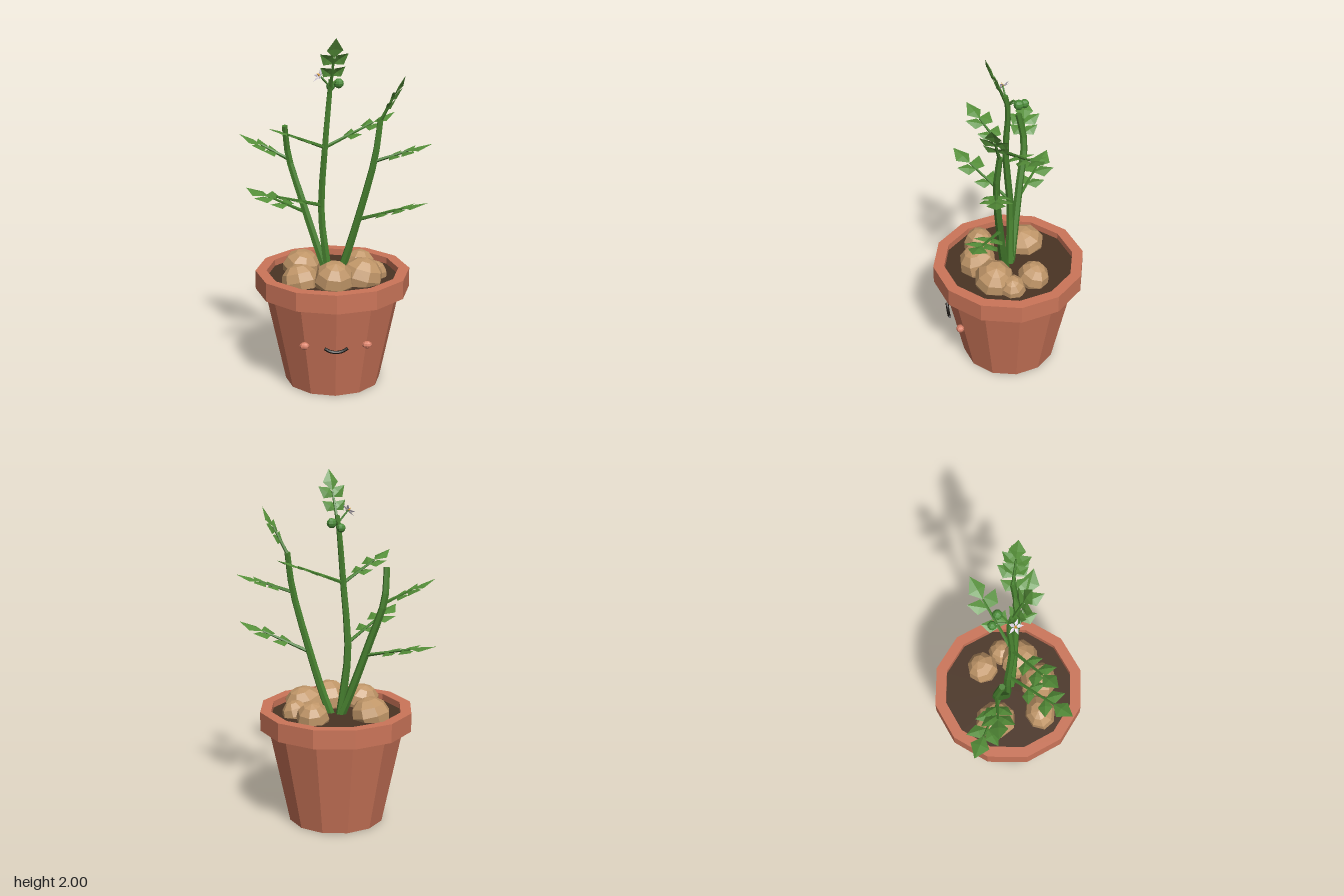
import * as THREE from 'three';

const mat = (name, color, side = THREE.FrontSide) =>
  Object.assign(new THREE.MeshStandardMaterial({ color, flatShading: true, side }), { name });
const M = {
  clay: mat('terracotta', 0xcb7559),
  soil: mat('soil', 0x4a3424),
  potato: mat('potato skin', 0xc09668),
  stem: mat('stem green', 0x47802f),
  leaf: mat('leaf green', 0x558f39, THREE.DoubleSide),
  berry: mat('berry green', 0x4a8c38),
  petal: mat('petal', 0xd6cddd, THREE.DoubleSide),
  pollen: mat('flower centre', 0xe0a030),
  blush: mat('blush', 0xd98068),
  mouth: mat('mouth', 0x1c1814),
};
const V = (x, y, z) => new THREE.Vector3(x, y, z);
const UP = V(0, 1, 0);

function add(parent, name, geometry, material, pos) {
  const m = new THREE.Mesh(geometry, material);
  m.name = name;
  if (pos) m.position.copy(pos);
  parent.add(m);
  return m;
}

// Tapered, capped rod that follows a curve
function rod(points, r0, r1, segs = 8, sides = 6) {
  const curve = new THREE.CatmullRomCurve3(points);
  const g = new THREE.CylinderGeometry(r1, r0, 1, sides, segs);
  const p = g.attributes.position, q = new THREE.Quaternion();
  for (let i = 0; i < p.count; i++) {
    const t = THREE.MathUtils.clamp(p.getY(i) + 0.5, 0, 1);
    q.setFromUnitVectors(UP, curve.getTangent(t));
    const v = V(p.getX(i), 0, p.getZ(i)).applyQuaternion(q).add(curve.getPoint(t));
    p.setXYZ(i, v.x, v.y, v.z);
  }
  g.computeVertexNormals();
  return g;
}

// Folded kite lying along +z, creased down the middle
function kite(len, width, fold) {
  const w = width / 2, m = len * 0.42;
  const g = new THREE.BufferGeometry();
  g.setAttribute('position', new THREE.Float32BufferAttribute(
    [0, 0, 0, w, -fold, m, 0, fold * 0.4, m, -w, -fold, m, 0, -fold * 0.4, len], 3));
  g.setIndex([0, 2, 1, 0, 3, 2, 1, 2, 4, 2, 3, 4]);
  g.computeVertexNormals();
  return g;
}

// Points a mesh's +z along dir, keeping its face upwards
function aim(mesh, dir, up = UP) {
  const z = dir.clone().normalize();
  const x = V(0, 0, 0).crossVectors(up, z).normalize();
  const y = V(0, 0, 0).crossVectors(z, x);
  mesh.quaternion.setFromRotationMatrix(new THREE.Matrix4().makeBasis(x, y, z));
}

// Compound leaf: stalk, two pairs of leaflets and one at the end
function compoundLeaf(parent, start, tip, size) {
  const group = new THREE.Group();
  group.name = 'compoundLeaf';
  const dir = tip.clone().sub(start), len = dir.length();
  dir.normalize();
  const at = d => start.clone().addScaledVector(dir, d);
  const stalk = len - size * 0.97;
  add(group, 'leafStalk', rod([start, at(stalk)], 0.011, 0.006, 1, 5), M.stem);

  const side = V(0, 0, 0).crossVectors(UP, dir).normalize();
  const normal = V(0, 0, 0).crossVectors(dir, side);
  for (const [f, s] of [[0.45, 0.72], [0.82, 0.82]]) {
    for (const k of [-1, 1]) {
      const d = dir.clone().multiplyScalar(0.65).addScaledVector(side, k * 0.8);
      const leaflet = add(group, 'leaflet', kite(size * s, size * s * 0.74, size * 0.06), M.leaf, at(stalk * f));
      aim(leaflet, d, normal);
    }
  }
  aim(add(group, 'endLeaflet', kite(size, size * 0.74, size * 0.07), M.leaf, at(stalk)), dir);
  parent.add(group);
}

export function createModel() {
  const root = new THREE.Group();
  root.name = 'pottedPlant';

  // Pot with rim, open at the top
  const pot = new THREE.Group();
  pot.name = 'pot';
  pot.position.x = -0.012;
  root.add(pot);
  const profile = [[0, 0], [0.273, 0], [0.39, 0.555], [0.44, 0.555], [0.44, 0.663], [0.377, 0.663], [0.377, 0.6]];
  add(pot, 'potBody', new THREE.LatheGeometry(profile.map(p => new THREE.Vector2(...p)), 12), M.clay);
  add(pot, 'soil', new THREE.CylinderGeometry(0.377, 0.36, 0.04, 12), M.soil, V(0, 0.605, 0));

  // Face
  for (const k of [-1, 1]) {
    const cheek = add(pot, 'cheek', new THREE.SphereGeometry(0.028, 8, 6), M.blush, V(k * 0.174, 0.325, 0.315));
    cheek.scale.set(1, 0.75, 0.85);
  }
  add(pot, 'mouth', rod([V(-0.063, 0.325, 0.362), V(-0.034, 0.308, 0.362), V(0, 0.302, 0.362),
    V(0.034, 0.308, 0.362), V(0.063, 0.325, 0.362)], 0.009, 0.009, 10), M.mouth);

  // Potatoes: x, y, z, width radius, height radius, depth radius, turn
  const potatoes = [
    [-0.185, 0.645, -0.12, 0.113, 0.098, 0.12, 0.3],
    [0.15, 0.645, -0.115, 0.095, 0.095, 0.092, 0.9],
    [-0.015, 0.66, 0.18, 0.113, 0.112, 0.11, 0.1],
    [0.145, 0.655, 0.11, 0.122, 0.11, 0.115, 0.6],
    [-0.2, 0.645, 0.145, 0.107, 0.1, 0.09, 1.3],
    [0.22, 0.635, 0.015, 0.08, 0.08, 0.075, 0.4],
  ];
  for (const [x, y, z, a, b, c, turn] of potatoes) {
    const g = new THREE.SphereGeometry(1, 8, 6);
    g.rotateX(0.3).rotateY(turn * 3).scale(a, b, c);
    add(root, 'potato', g, M.potato, V(x, y, z));
  }

  // Stems
  add(root, 'middleStem', rod([V(-0.03, 0.6, -0.012), V(-0.05, 0.75, -0.015), V(-0.075, 1, -0.02),
    V(-0.055, 1.38, 0.01), V(-0.03, 1.66, 0), V(-0.022, 1.76, 0.015)], 0.026, 0.013, 12), M.stem);
  add(root, 'rightStem', rod([V(-0.03, 0.6, -0.012), V(-0.085, 0.75, -0.04), V(-0.19, 1.08, -0.095),
    V(-0.255, 1.3, -0.13), V(-0.275, 1.48, -0.1)], 0.026, 0.018, 10), M.stem);
  add(root, 'leftStem', rod([V(0.01, 0.6, 0.02), V(0.06, 0.75, 0.045), V(0.13, 1, 0.075),
    V(0.215, 1.34, 0.105), V(0.245, 1.55, 0.09)], 0.026, 0.017, 10), M.stem);

  // Leaves: start, tip, leaflet size
  const leaves = [
    [V(-0.075, 1.04, -0.015), V(-0.43, 1.19, 0.25), 0.14],
    [V(-0.055, 1.38, 0.01), V(0.34, 1.55, -0.12), 0.14],
    [V(-0.055, 1.38, 0.01), V(-0.365, 1.53, 0.175), 0.13],
    [V(-0.025, 1.7, 0.005), V(0, 2, 0.12), 0.125],
    [V(-0.16, 0.98, -0.08), V(-0.495, 1.07, -0.31), 0.15],
    [V(-0.25, 1.28, -0.125), V(-0.525, 1.42, -0.18), 0.14],
    [V(0.13, 0.98, 0.073), V(0.485, 1.13, 0.275), 0.15],
    [V(0.21, 1.32, 0.105), V(0.52, 1.43, 0.155), 0.14],
    [V(0.243, 1.54, 0.09), V(0.367, 1.8, 0.15), 0.125],
  ];
  for (const leaf of leaves) compoundLeaf(root, ...leaf);

  // Berries on short stalks
  for (const [x, y, z, r] of [[0.025, 1.727, -0.048, 0.028], [-0.018, 1.705, -0.087, 0.025]]) {
    add(root, 'berryStalk', rod([V(-0.025, 1.7, 0), V((x - 0.025) / 2, y + 0.015, z / 2), V(x, y, z)], 0.006, 0.005, 4, 5), M.stem);
    add(root, 'berry', new THREE.SphereGeometry(r, 8, 6), M.berry, V(x, y, z));
  }

  // Five-petalled flower
  const flower = new THREE.Group();
  flower.name = 'flower';
  flower.position.set(-0.085, 1.785, 0.018);
  flower.quaternion.setFromUnitVectors(UP, V(-0.7, 0.6, 0.3).normalize());
  for (let i = 0; i < 5; i++) {
    const a = i * Math.PI * 0.4;
    aim(add(flower, 'petal', kite(0.048, 0.022, 0.003), M.petal), V(Math.sin(a), 0.15, Math.cos(a)));
  }
  add(flower, 'flowerCentre', new THREE.ConeGeometry(0.008, 0.022, 6), M.pollen, V(0, 0.011, 0));
  root.add(flower);
  add(root, 'flowerStalk', rod([V(-0.026, 1.72, 0.008), V(-0.085, 1.785, 0.018)], 0.006, 0.005, 1, 5), M.stem);

  return root;
}
